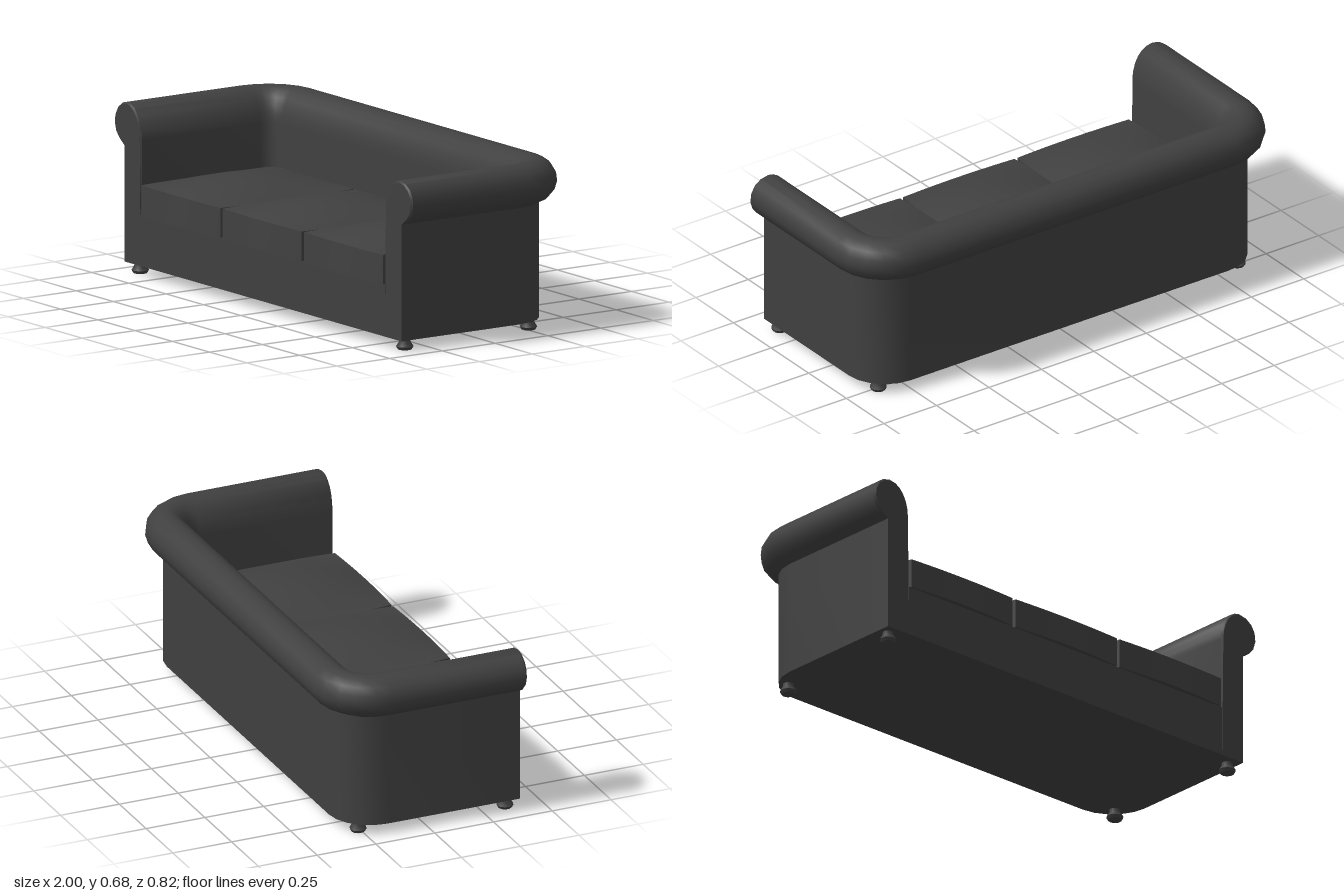
import * as THREE from 'three';
import { toCreasedNormals } from 'three/addons/utils/BufferGeometryUtils.js';

const leather = new THREE.MeshStandardMaterial({ color: 0x404040 });
const FRONT = 0.395, BOTTOM = 0.043, SEAT = 0.245;

function add(parent, name, geometry) {
  const mesh = new THREE.Mesh(geometry, leather);
  mesh.name = name;
  parent.add(mesh);
  return mesh;
}

// Cross-section of arm and back: x = distance inward from the outermost roll, y = height
function armProfile() {
  const p = [[0.07, BOTTOM], [0.07, 0.503]];
  for (let i = 1; i <= 8; i++) { // outer roll
    const a = -1.75 + (i / 8) * (1.75 + Math.PI / 2);
    p.push([0.085 - 0.085 * Math.cos(a), 0.59 + 0.085 * Math.sin(a)]);
  }
  for (let i = 1; i <= 6; i++) { // inner shoulder
    const a = (i / 6) * Math.PI / 2;
    p.push([0.085 + 0.095 * Math.sin(a), 0.54 + 0.135 * Math.cos(a)]);
  }
  p.push([0.18, BOTTOM]);
  return p.map(([x, y]) => new THREE.Vector2(x, y));
}

// One U-shaped sweep: right arm, back and left arm with rounded corners
function wrapGeometry() {
  const R = 0.24, cx = 0.76, cz = -0.17;
  const full = armProfile();
  const inset = full.map(p => p.y > 0.51
    ? new THREE.Vector2(0.09 + (p.x - 0.09) * 0.93, 0.59 + (p.y - 0.59) * 0.93) : p.clone());
  const stations = [[cx, FRONT, 0, inset], [cx, FRONT - 0.007, 0, full]];
  for (const side of [1, -1]) {
    for (let i = 0; i <= 5; i++) {
      const a = (side > 0 ? i : 5 + i) * Math.PI / 10;
      stations.push([side * cx, cz, a, full]);
    }
  }
  stations.push([-cx, FRONT - 0.007, Math.PI, full], [-cx, FRONT, Math.PI, inset]);

  const pos = [], idx = [], n = full.length, last = (stations.length - 1) * n;
  stations.forEach(([x, z, a, profile], s) => {
    for (const p of profile) pos.push(x + Math.cos(a) * (R - p.x), p.y, z - Math.sin(a) * (R - p.x));
    if (s === stations.length - 1) return;
    for (let j = 0; j < n; j++) {
      const k = (j + 1) % n, o = s * n;
      idx.push(o + j, o + n + j, o + k, o + n + j, o + n + k, o + k);
    }
  });
  // Flat arm fronts
  const faces = THREE.ShapeUtils.triangulateShape(inset.map(p => new THREE.Vector2(-p.x, p.y)), []);
  for (const [a, b, c] of faces) idx.push(a, b, c, last + a, last + c, last + b);

  const g = new THREE.BufferGeometry();
  g.setAttribute('position', new THREE.Float32BufferAttribute(pos, 3));
  g.setIndex(idx);
  return toCreasedNormals(g, 0.7);
}

// Crowned cushion whose sides swell so that neighbours touch mid-depth
function cushionGeometry() {
  const g = new THREE.BoxGeometry(2, 1, 2, 16, 2, 16);
  const pos = g.attributes.position;
  for (let i = 0; i < pos.count; i++) {
    const u = pos.getX(i), h = pos.getY(i) + 0.5, v = pos.getZ(i);
    const x = u * (0.265 + 0.01 * (1 - v ** 4));
    const y = SEAT + 0.002 + h * (0.118 + 0.046 * (1 - u * u) * (1 - v * v));
    const z = 0.08 + v * 0.318 + Math.max(v, 0) * (1 - u * u) * (0.014 - 0.006 * h);
    pos.setXYZ(i, x, y, z);
  }
  return toCreasedNormals(g, 0.7);
}

export function createModel() {
  const sofa = new THREE.Group();
  sofa.name = 'sofa';

  add(sofa, 'armsAndBack', wrapGeometry());

  // Seat base, flush with the arm fronts
  const depth = FRONT + 0.235;
  add(sofa, 'seatBase', new THREE.BoxGeometry(1.64, SEAT - BOTTOM, depth))
    .position.set(0, (SEAT + BOTTOM) / 2, FRONT - depth / 2);

  // Three seat cushions
  const cushion = cushionGeometry();
  for (const i of [-1, 0, 1]) add(sofa, 'seatCushion', cushion).position.x = i * 0.545;

  // Turned feet
  const profile = [[0, 0], [0.027, 0], [0.034, 0.012], [0.022, 0.032], [0.022, 0.045]]
    .map(([r, y]) => new THREE.Vector2(r, y));
  const foot = toCreasedNormals(new THREE.LatheGeometry(profile, 10), 0.9);
  for (const side of [-1, 1]) {
    add(sofa, 'frontFoot', foot).position.set(side * 0.888, 0, 0.349);
    add(sofa, 'backFoot', foot).position.set(side * 0.855, 0, -0.26);
  }
  return sofa;
}
